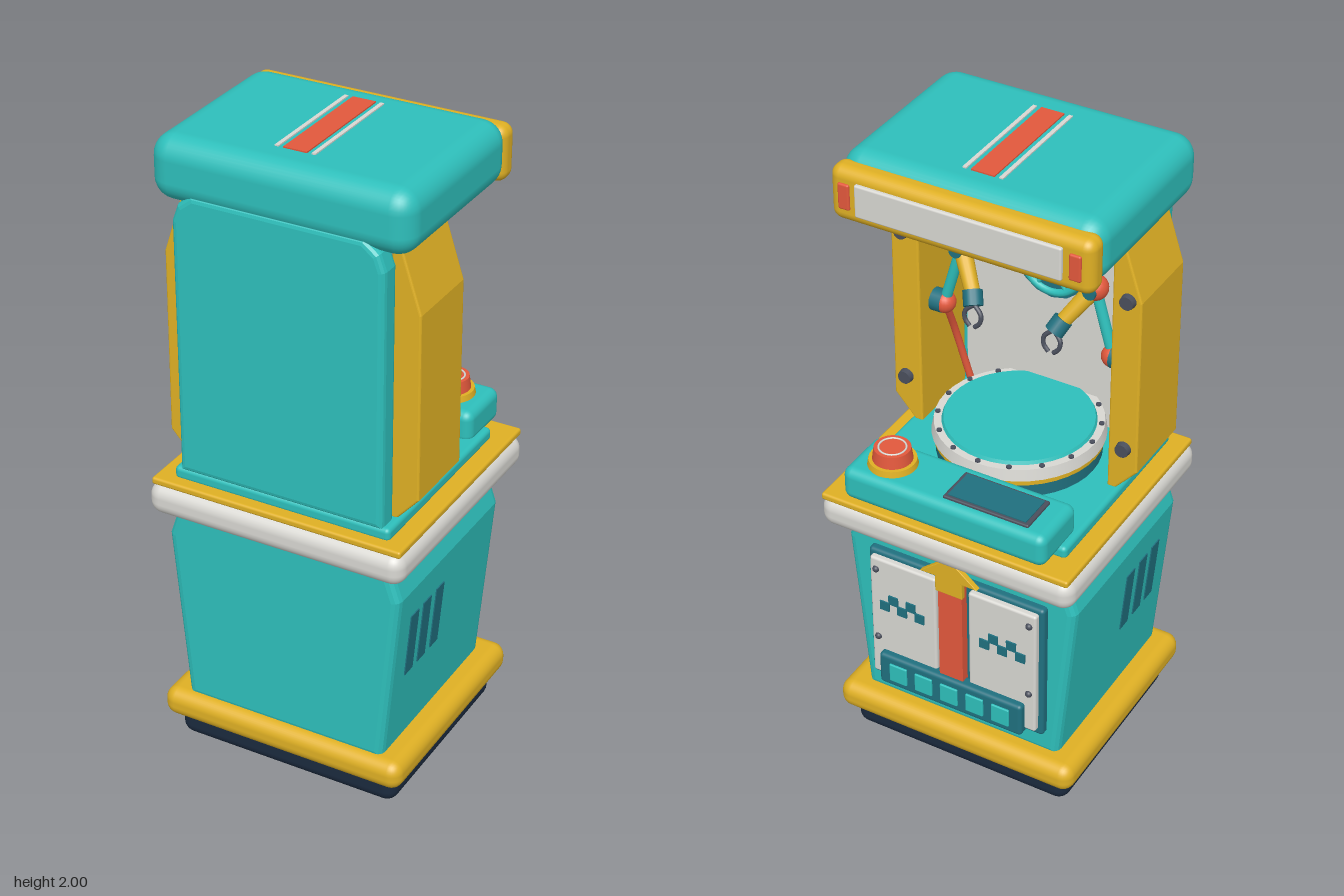
import * as THREE from 'three';
import { RoundedBoxGeometry } from 'three/addons/geometries/RoundedBoxGeometry.js';

const mat = (name, color) => {
  const m = new THREE.MeshStandardMaterial({ color });
  m.name = name;
  return m;
};

export function createModel() {
  const teal = mat('teal', 0x2ebfbb), yellow = mat('yellow', 0xdfb024), red = mat('red', 0xe2583c);
  const white = mat('offWhite', 0xd8d7d2), navy = mat('navy', 0x1b2a3e);
  const deep = mat('deepTeal', 0x20707f), grey = mat('darkGrey', 0x4a4f5c);
  const root = new THREE.Group();
  root.name = 'arcadeCabinet';

  const add = (name, geo, m, x = 0, y = 0, z = 0, parent = root) => {
    const mesh = new THREE.Mesh(geo, m);
    mesh.name = name;
    mesh.position.set(x, y, z);
    parent.add(mesh);
    return mesh;
  };
  // boxes given by their lower and upper limits; r rounds the edges
  const block = (name, m, x0, x1, y0, y1, z0, z1, r = 0) => {
    const s = [x1 - x0, y1 - y0, z1 - z0];
    const geo = r ? new RoundedBoxGeometry(...s, 4, r) : new THREE.BoxGeometry(...s);
    return add(name, geo, m, (x0 + x1) / 2, (y0 + y1) / 2, (z0 + z1) / 2);
  };
  // outline in x-y pushed from z0 to z1 with a bevel
  const slab = (name, m, pts, z0, z1, b) => {
    const shape = new THREE.Shape(pts.map(p => new THREE.Vector2(...p)));
    const geo = new THREE.ExtrudeGeometry(shape, {
      depth: z1 - z0 - 2 * b, bevelEnabled: b > 0, bevelSize: b, bevelOffset: -b, bevelThickness: b, bevelSegments: 3,
    });
    return add(name, geo, m, 0, 0, z0 + b);
  };
  const mirrored = half => [...half, ...half.map(([x, y]) => [-x, y]).reverse()];
  const disc = (name, m, r, y0, y1, x, z, rTop = r) =>
    add(name, new THREE.CylinderGeometry(rTop, r, y1 - y0, 40), m, x, (y0 + y1) / 2, z);
  // round bar between two points
  const bar = (name, m, a, b, r, r2 = r) => {
    const A = new THREE.Vector3(...a), B = new THREE.Vector3(...b), d = B.clone().sub(A);
    const mesh = add(name, new THREE.CylinderGeometry(r2, r, d.length(), 14), m);
    mesh.position.copy(A).add(B).multiplyScalar(0.5);
    mesh.quaternion.setFromUnitVectors(new THREE.Vector3(0, 1, 0), d.normalize());
    return mesh;
  };
  const ball = (name, m, p, r) => add(name, new THREE.SphereGeometry(r, 20, 14), m, ...p);

  // base and lower body
  block('foot', navy, -0.37, 0.37, 0, 0.12, -0.32, 0.335, 0.04);
  block('baseBumper', yellow, -0.405, 0.405, 0.083, 0.178, -0.36, 0.375, 0.04);
  slab('lowerBody', teal, mirrored([[0.33, 0.16], [0.382, 0.73], [0.345, 0.84]]), -0.297, 0.338, 0.025);
  block('counterBand', white, -0.415, 0.415, 0.82, 0.922, -0.393, 0.397, 0.042);
  block('counterTrim', yellow, -0.405, 0.405, 0.915, 0.938, -0.39, 0.38, 0.008);
  block('deck', teal, -0.35, 0.35, 0.93, 0.972, -0.3, 0.342, 0.014);

  // side vents lying on the sloping walls
  for (const s of [1, -1]) for (const z of [0.222, 0.145, 0.065]) {
    const vent = block('vent', deep, -0.006, 0.006, -0.107, 0.107, -0.024, 0.024);
    vent.position.set(s * 0.361, 0.528, z);
    vent.rotation.z = -s * 0.091;
  }

  // service door
  block('doorFrame', deep, -0.295, 0.295, 0.25, 0.735, -0.322, -0.285, 0.012);
  for (const s of [1, -1]) {
    block('doorPanel', white, Math.min(s * 0.055, s * 0.28), Math.max(s * 0.055, s * 0.28), 0.275, 0.72, -0.341, -0.31, 0.008);
    [0, 1, 0, 1, 0].forEach((up, i) => {
      const x = s * 0.17 + (i - 2) * 0.03, y = 0.55 + up * 0.03;
      block('pixelMark', deep, x - 0.016, x + 0.016, y - 0.016, y + 0.016, -0.346, -0.339);
    });
    for (const y of [0.42, 0.68]) ball('doorScrew', grey, [s * 0.258, y, -0.341], 0.011);
  }
  block('doorStripe', red, -0.04, 0.04, 0.36, 0.73, -0.35, -0.315);
  slab('doorArrow', yellow, mirrored([[0.045, 0.7], [0.045, 0.755], [0.095, 0.755], [0.005, 0.83]]), -0.358, -0.34, 0.003);
  block('slotTray', deep, -0.245, 0.245, 0.26, 0.375, -0.365, -0.32, 0.012);
  for (let i = -2; i <= 2; i++)
    block('slot', teal, i * 0.088 - 0.03, i * 0.088 + 0.03, 0.285, 0.35, -0.371, -0.36, 0.004);

  // control console
  block('console', teal, -0.33, 0.33, 0.952, 1.058, -0.392, -0.195, 0.028);
  block('screenFrame', grey, -0.265, 0.01, 1.05, 1.066, -0.363, -0.235, 0.005);
  block('screen', deep, -0.253, -0.002, 1.06, 1.069, -0.353, -0.245);
  disc('buttonCollar', yellow, 0.075, 1.05, 1.077, 0.215, -0.295, 0.07);
  disc('button', red, 0.06, 1.07, 1.115, 0.215, -0.295, 0.054);
  add('buttonRing', new THREE.TorusGeometry(0.04, 0.003, 8, 40), white, 0.215, 1.115, -0.295).rotation.x = Math.PI / 2;

  // turntable
  const tz = 0.055;
  disc('turntableBase', deep, 0.245, 0.965, 1.02, 0, tz);
  disc('turntableTrim', yellow, 0.252, 1.018, 1.038, 0, tz);
  disc('turntableRim', white, 0.257, 1.036, 1.072, 0, tz, 0.25);
  disc('turntableTop', teal, 0.228, 1.07, 1.082, 0, tz, 0.222);
  for (let i = 0; i < 16; i++) {
    const a = i * Math.PI / 8;
    disc('rimStud', grey, 0.008, 1.068, 1.077, 0.24 * Math.cos(a), tz + 0.24 * Math.sin(a));
  }

  // back shell, inner wall and side panels
  slab('backShell', teal, mirrored([[0.328, 0.965], [0.328, 1.76], [0.31, 1.81], [0.265, 1.845]]), 0.27, 0.345, 0.018);
  block('innerWall', white, -0.295, 0.295, 0.975, 1.82, 0.258, 0.275);
  for (const s of [1, -1]) {
    const pts = [[0.31, 0.968], [0.335, 0.968], [0.403, 1.045], [0.4, 1.62], [0.335, 1.82], [0.31, 1.82]].map(([x, y]) => [s * x, y]);
    slab('sidePanel', yellow, pts, 0.018, 0.27, 0.006);
    for (const y of [1.12, 1.62]) bar('panelBolt', grey, [s * 0.36, y, 0.03], [s * 0.36, y, 0], 0.025, 0.021);
  }

  // wall dial
  bar('dial', deep, [0, 1.5, 0.262], [0, 1.5, 0.24], 0.115);
  add('dialRing', new THREE.TorusGeometry(0.095, 0.012, 10, 40), teal, 0, 1.5, 0.24);
  for (let i = 0; i < 3; i++) {
    const a = i * Math.PI / 3, x = 0.085 * Math.cos(a), y = 0.085 * Math.sin(a);
    bar('dialSpoke', teal, [-x, 1.5 - y, 0.239], [x, 1.5 + y, 0.239], 0.006);
  }
  bar('dialHub', yellow, [0, 1.5, 0.25], [0, 1.5, 0.226], 0.022);

  // pair of jointed arms with claws and cables
  for (const s of [1, -1]) {
    const shoulder = [s * 0.275, 1.36, 0.1], elbow = [s * 0.215, 1.57, 0.1], wrist = [s * 0.14, 1.46, 0.035];
    bar('armMount', deep, [s * 0.315, 1.36, 0.1], shoulder, 0.035);
    ball('shoulder', red, shoulder, 0.034);
    bar('upperArm', teal, shoulder, elbow, 0.016);
    ball('elbow', red, elbow, 0.038);
    bar('elbowCap', deep, [s * 0.215, 1.57, 0.13], [s * 0.215, 1.57, 0.058], 0.02);
    bar('forearm', yellow, elbow, wrist, 0.027, 0.022);
    bar('wrist', deep, [s * 0.147, 1.475, 0.042], [s * 0.13, 1.44, 0.018], 0.029);
    for (const k of [-1, 1]) {
      const x = s * 0.128;
      const claw = new THREE.CatmullRomCurve3([[x, 1.445, 0.02], [x + k * 0.026, 1.42, 0.012], [x + k * 0.024, 1.395, 0.008], [x + k * 0.008, 1.378, 0.006]]
        .map(p => new THREE.Vector3(...p)));
      add('claw', new THREE.TubeGeometry(claw, 10, 0.007, 8), grey);
    }
    const cable = new THREE.CatmullRomCurve3([[s * 0.28, 1.35, 0.11], [s * 0.285, 1.22, 0.17], [s * 0.265, 1.08, 0.2], [s * 0.235, 0.965, 0.21]]
      .map(p => new THREE.Vector3(...p)));
    add('cable', new THREE.TubeGeometry(cable, 24, 0.011, 10), red);
  }

  // roof with stripes
  block('roof', teal, -0.402, 0.402, 1.803, 1.996, -0.24, 0.347, 0.065);
  block('roofStripe', red, -0.036, 0.036, 1.992, 2, -0.145, 0.235);
  for (const s of [1, -1])
    block('roofLine', white, s * 0.056 - 0.006, s * 0.056 + 0.006, 1.992, 2, -0.145, 0.235);

  // marquee
  block('marquee', yellow, -0.402, 0.402, 1.805, 1.972, -0.277, -0.2, 0.032);
  block('marqueePlate', white, -0.315, 0.315, 1.84, 1.94, -0.288, -0.26, 0.006);
  for (const s of [1, -1])
    block('marqueeLamp', red, s * 0.352 - 0.018, s * 0.352 + 0.018, 1.85, 1.93, -0.284, -0.26, 0.006);

  return root;
}
